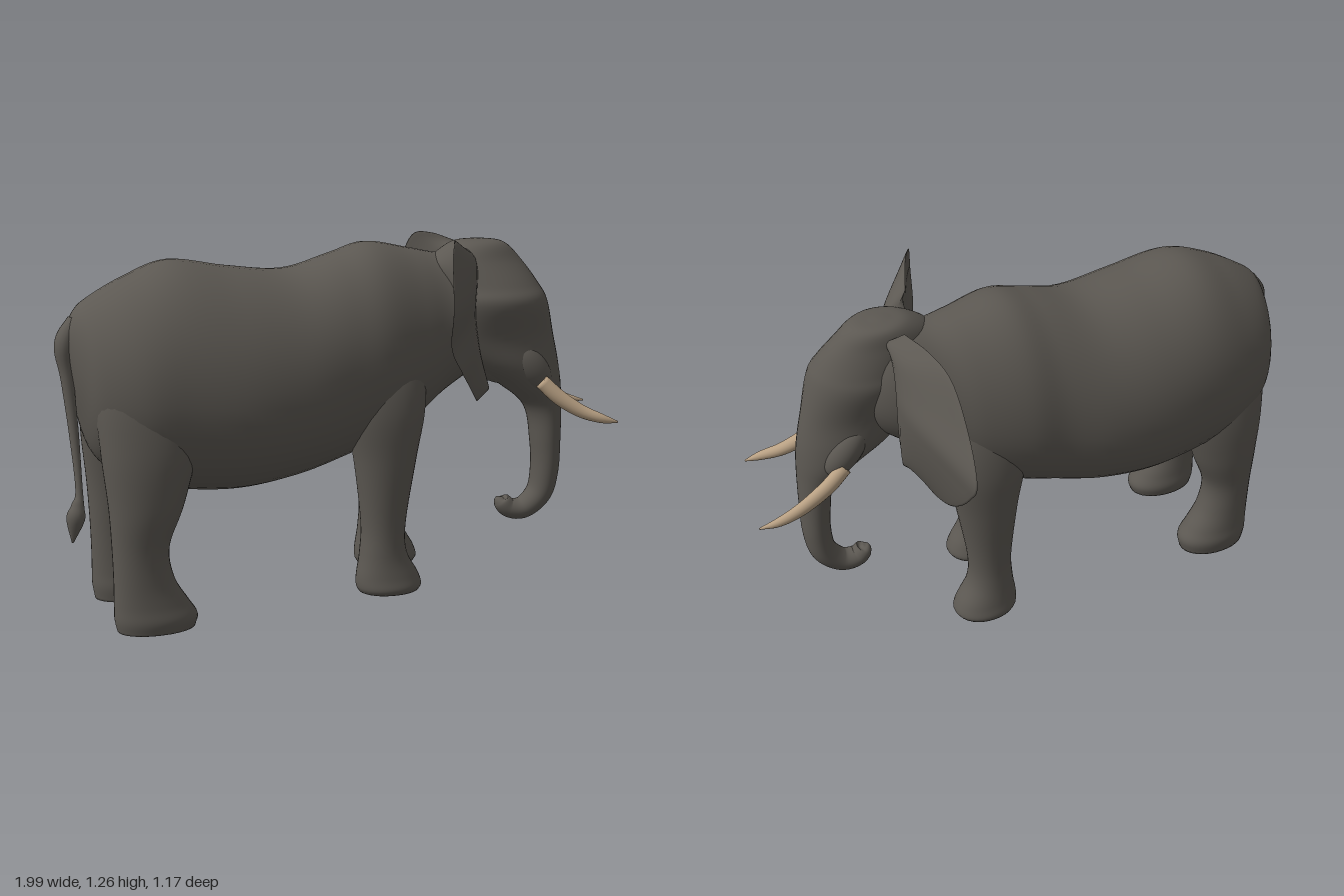
import * as THREE from 'three';

const hide = new THREE.MeshStandardMaterial({ color: 0x5c5852 });
hide.name = 'grey hide';
const ivory = new THREE.MeshStandardMaterial({ color: 0xb8a083 });
ivory.name = 'ivory';

const vec = (p) => new THREE.Vector3(p[0], p[1], p[2]);
const curve = (pts) => new THREE.CatmullRomCurve3(pts, false, 'catmullrom', 0.5);

// Closed smooth skin over a list of rings, capped at both ends and turned outward
function skin(rings) {
  const n = rings[0].length, pos = [], idx = [];
  rings.forEach((r) => r.forEach((p) => pos.push(p.x, p.y, p.z)));
  for (let i = 0; i < rings.length - 1; i++) {
    for (let j = 0; j < n; j++) {
      const k = (j + 1) % n, a = i * n + j, b = i * n + k;
      idx.push(a, b, a + n, b, b + n, a + n);
    }
  }
  [0, rings.length - 1].forEach((e) => {
    const c = rings[e].reduce((s, p) => s.add(p), new THREE.Vector3()).divideScalar(n);
    const m = pos.length / 3;
    pos.push(c.x, c.y, c.z);
    for (let j = 0; j < n; j++) {
      const a = e * n + j, b = e * n + (j + 1) % n;
      if (e) idx.push(a, b, m); else idx.push(b, a, m);
    }
  });
  // signed volume decides the winding
  const at = (i) => new THREE.Vector3().fromArray(pos, i * 3);
  let volume = 0;
  for (let i = 0; i < idx.length; i += 3) volume += at(idx[i]).dot(at(idx[i + 1]).cross(at(idx[i + 2])));
  if (volume < 0) idx.reverse();
  const g = new THREE.BufferGeometry();
  g.setAttribute('position', new THREE.Float32BufferAttribute(pos, 3));
  g.setIndex(idx);
  g.computeVertexNormals();
  return g;
}

// Loft through sections [x, y, z, radius in profile, radius sideways];
// flat(p) = 1 keeps a ring square to the axis, 0 square to the path
function loft(sections, { axis = [0, -1, 0], flat = () => 0, power = 2, taper = 0, n = 32, steps = 6 } = {}) {
  const path = curve(sections.map(vec));
  const radii = curve(sections.map((s) => new THREE.Vector3(s[3], s[4], 0)));
  const count = (sections.length - 1) * steps, rings = [];
  const round = (v) => Math.sign(v) * Math.abs(v) ** (2 / power);
  for (let i = 0; i <= count; i++) {
    const p = path.getPoint(i / count), r = radii.getPoint(i / count);
    const t = path.getTangent(i / count).lerp(vec(axis), flat(p)).normalize();
    const side = new THREE.Vector3(0, 0, 1).addScaledVector(t, -t.z).normalize();
    const up = side.clone().cross(t);
    const ring = [];
    for (let j = 0; j < n; j++) {
      const a = (j / n) * Math.PI * 2, s = round(Math.sin(a)), c = round(Math.cos(a));
      ring.push(p.clone()
        .addScaledVector(up, s * Math.max(r.x, 0.002))
        .addScaledVector(side, c * Math.max(r.y, 0.002) * (1 - taper * s)));
    }
    rings.push(ring);
  }
  return skin(rings);
}

// Thin flap between an inner and an outer edge, thick at the root
function flap(inner, outer, cup) {
  const a = curve(inner.map(vec)), b = curve(outer.map(vec)), rings = [];
  for (let i = 0; i <= 48; i++) {
    const p = a.getPoint(i / 48), q = b.getPoint(i / 48), ring = [];
    for (let j = 0; j < 24; j++) {
      const w = (j / 24) * Math.PI * 2, s = (1 - Math.cos(w)) / 2;
      const v = p.clone().lerp(q, s);
      v.x += Math.sin(w) * (0.06 * (1 - s) ** 2 + 0.007) + cup * Math.sin(Math.PI * s);
      ring.push(v);
    }
    rings.push(ring);
  }
  return skin(rings);
}

export function createModel() {
  const group = new THREE.Group();
  const add = (name, geometry, material = hide) => {
    const m = new THREE.Mesh(geometry, material);
    m.name = name;
    group.add(m);
    return m;
  };
  const blob = (name, p, r, tilt = 0) => {
    const m = add(name, new THREE.SphereGeometry(1, 32, 20));
    m.position.set(...p);
    m.scale.set(...r);
    m.rotation.z = tilt;
  };
  const square = () => 1;

  // Body, neck and cheeks: x, top, bottom, middle z, half width
  const trunkLine = [
    [-0.95, 0.99, 0.9, 0.05, 0.03], [-0.92, 1.045, 0.72, 0.04, 0.13], [-0.87, 1.085, 0.56, 0.03, 0.225],
    [-0.75, 1.15, 0.47, 0.035, 0.287], [-0.6, 1.2, 0.43, 0.03, 0.314], [-0.4, 1.172, 0.415, 0.03, 0.33],
    [-0.2, 1.155, 0.44, 0.027, 0.318], [-0.03, 1.2, 0.485, 0.025, 0.288], [0.1, 1.235, 0.53, 0.02, 0.27],
    [0.25, 1.21, 0.6, 0.02, 0.222], [0.36, 1.19, 0.69, 0.035, 0.175], [0.47, 1.195, 0.77, 0.055, 0.165],
    [0.55, 1.16, 0.83, 0.08, 0.14], [0.61, 1.05, 0.92, 0.1, 0.08],
  ].map(([x, t, b, z, w]) => [x, (t + b) / 2, z, (t - b) / 2, w]);
  add('body', loft(trunkLine, { axis: [1, 0, 0], flat: square, power: 2.08, taper: 0.09, n: 48 }));
  blob('underbelly', [-0.71, 0.43, 0.03], [0.08, 0.07, 0.06]);

  // Head running down into the curled trunk
  add('headAndTrunk', loft([
    [0.5, 1.236, 0.06, 0.02, 0.015], [0.5, 1.222, 0.065, 0.1, 0.08], [0.49, 1.16, 0.078, 0.172, 0.112],
    [0.525, 1.08, 0.1, 0.19, 0.145], [0.54, 1.02, 0.113, 0.203, 0.163], [0.57, 0.9, 0.113, 0.205, 0.134],
    [0.622, 0.8, 0.115, 0.174, 0.13], [0.69, 0.72, 0.12, 0.115, 0.115], [0.745, 0.63, 0.125, 0.064, 0.085],
    [0.76, 0.5, 0.127, 0.052, 0.069], [0.762, 0.39, 0.125, 0.049, 0.06], [0.745, 0.305, 0.12, 0.046, 0.053],
    [0.69, 0.25, 0.11, 0.04, 0.045], [0.635, 0.25, 0.1, 0.036, 0.04], [0.607, 0.28, 0.095, 0.03, 0.034],
    [0.605, 0.292, 0.095, 0.004, 0.004],
  ], { flat: (p) => THREE.MathUtils.smoothstep(p.y, 0.45, 0.65), n: 40 }));
  blob('lowerJaw', [0.54, 0.79, 0.11], [0.12, 0.055, 0.075], -0.45);

  // Tusk sockets and tusks
  blob('leftTuskSocket', [0.655, 0.79, 0.208], [0.105, 0.055, 0.052], -0.9);
  blob('rightTuskSocket', [0.665, 0.79, 0.018], [0.105, 0.055, 0.052], -0.9);
  add('leftTusk', loft([
    [0.675, 0.745, 0.25, 0.026, 0.026], [0.73, 0.69, 0.277, 0.027, 0.026], [0.8, 0.642, 0.31, 0.023, 0.022],
    [0.87, 0.615, 0.342, 0.016, 0.016], [0.925, 0.602, 0.355, 0.003, 0.003],
  ], { n: 20 }), ivory);
  add('rightTusk', loft([
    [0.685, 0.745, -0.015, 0.026, 0.024], [0.755, 0.69, -0.024, 0.027, 0.023], [0.85, 0.642, -0.033, 0.023, 0.02],
    [0.93, 0.615, -0.032, 0.016, 0.015], [0.997, 0.603, -0.022, 0.003, 0.003],
  ], { n: 20 }), ivory);

  // Ears, one swept back and one spread wide
  add('leftEar', flap(
    [[0.43, 1.18, 0.11], [0.43, 1.12, 0.16], [0.41, 1.02, 0.19], [0.42, 0.88, 0.2], [0.45, 0.74, 0.21]],
    [[0.36, 1.235, 0.18], [0.3, 1.255, 0.32], [0.23, 1.215, 0.46], [0.18, 1.06, 0.583],
      [0.21, 0.93, 0.505], [0.29, 0.83, 0.415], [0.36, 0.765, 0.32], [0.43, 0.69, 0.24]], 0.01));
  add('rightEar', flap(
    [[0.48, 1.18, -0.01], [0.49, 1.12, -0.06], [0.5, 1.02, -0.09], [0.49, 0.88, -0.08], [0.47, 0.75, -0.08]],
    [[0.46, 1.222, -0.05], [0.44, 1.235, -0.2], [0.43, 1.215, -0.35], [0.44, 1.1, -0.49], [0.46, 0.99, -0.583],
      [0.46, 0.9, -0.53], [0.455, 0.8, -0.43], [0.45, 0.725, -0.32], [0.45, 0.69, -0.2], [0.45, 0.705, -0.1]], 0.005));

  // Legs: x, y, z, half length, half width, from shoulder or hip to sole
  const legStyle = { flat: square, power: 2.1 };
  const frontLeg = (side, x, z, out) => add(side + 'FrontLeg', loft([
    [x + 0.02, 1.0, z - out * 0.08, 0.09, 0.05], [x, 0.84, z - out * 0.025, 0.14, 0.085], [x - 0.005, 0.68, z, 0.143, 0.098],
    [x - 0.005, 0.5, z, 0.11, 0.093], [x - 0.01, 0.28, z, 0.079, 0.076], [x - 0.01, 0.17, z, 0.083, 0.077],
    [x + 0.005, 0.09, z, 0.11, 0.088], [x + 0.012, 0.05, z, 0.117, 0.096], [x + 0.012, 0.03, z, 0.108, 0.088],
  ], legStyle));
  frontLeg('left', 0.113, 0.19, 1);
  frontLeg('right', 0.225, -0.122, -1);

  const hindLeg = (side, z, out, sole) => add(side + 'HindLeg', loft([
    [-0.71, 1.0, z - out * 0.11, 0.1, 0.05], [-0.72, 0.82, z - out * 0.05, 0.165, 0.1], [-0.725, 0.62, z - out * 0.015, 0.158, 0.108],
    [-0.742, 0.43, z, 0.124, 0.095], [-0.765, 0.29, z, 0.094, 0.08], [-0.757, 0.18, z, 0.1, 0.08],
    [-0.735, 0.1, z, 0.123, 0.086], [-0.72, 0.05, z, 0.138, 0.093], [-0.72, sole, z, 0.13, 0.086],
  ], legStyle));
  hindLeg('left', 0.237, 1, 0.01);
  hindLeg('right', -0.145, -1, 0);

  // Tail with its tuft
  add('tail', loft([
    [-0.92, 1.02, 0.04, 0.02, 0.03], [-0.955, 0.94, 0.05, 0.034, 0.04], [-0.953, 0.83, 0.065, 0.022, 0.024],
    [-0.945, 0.65, 0.105, 0.016, 0.016], [-0.945, 0.48, 0.16, 0.012, 0.012], [-0.955, 0.43, 0.18, 0.022, 0.02],
    [-0.965, 0.39, 0.19, 0.03, 0.028], [-0.978, 0.315, 0.195, 0.003, 0.003],
  ], { n: 16 }));

  return group;
}
